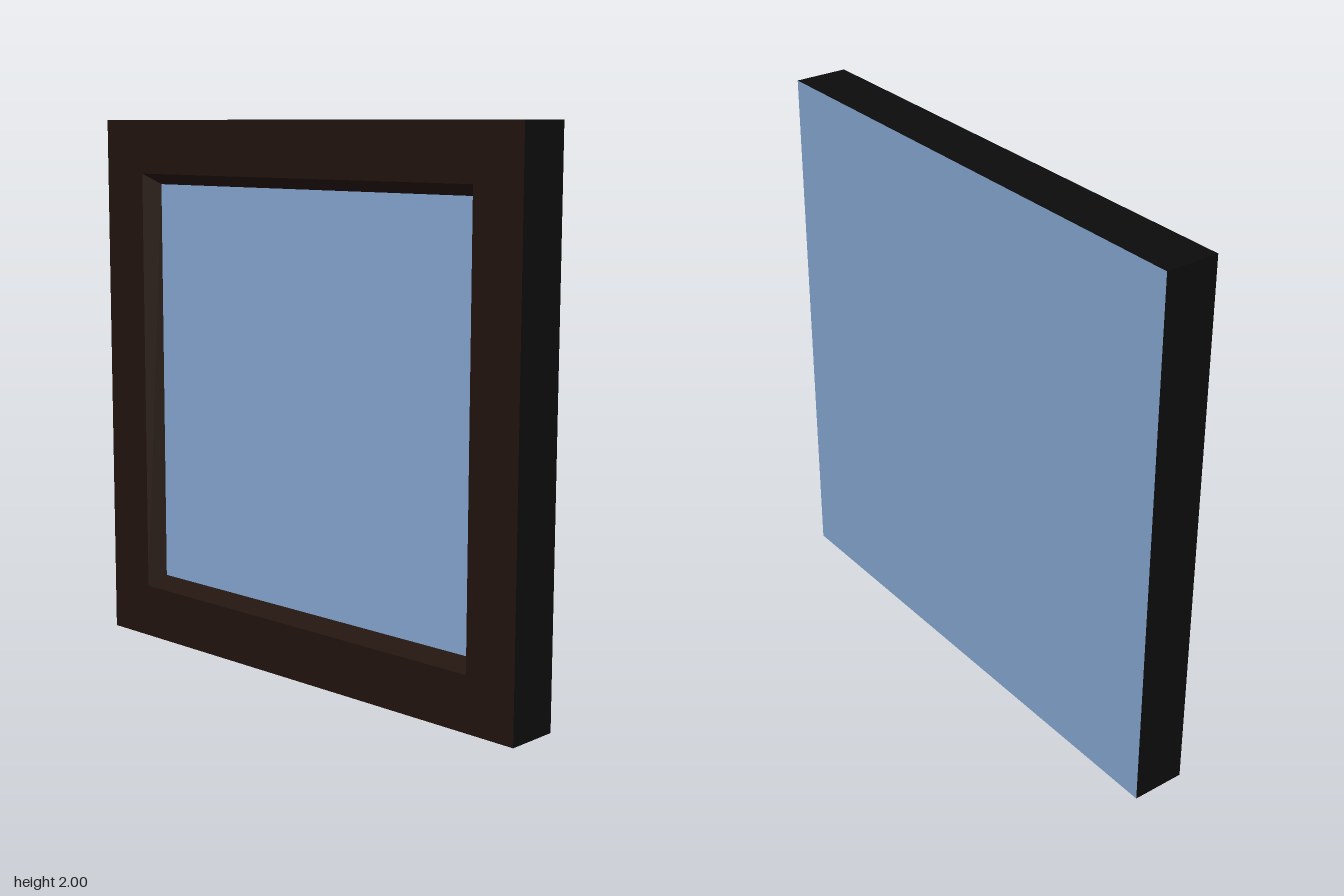
import * as THREE from 'three';

const HALF = 1;        // half of the outer width
const OPENING = 0.8;   // half width of the opening at the front
const PANE = 0.76;     // half width of the visible pane
const DEPTH = 0.1;     // half thickness
const PANE_Z = 0.04;   // recessed pane

// Sweeps a [half width, z] profile around a square, with sharp facets.
function squareSweep(profile) {
  const points = profile.map(([half, z]) => new THREE.Vector2(half * Math.SQRT2, z));
  const geometry = new THREE.LatheGeometry(points, 4, Math.PI / 4).toNonIndexed();
  geometry.computeVertexNormals();
  return geometry.rotateX(Math.PI / 2);
}

export function createModel() {
  const group = new THREE.Group();
  group.name = 'window';

  const wood = new THREE.MeshStandardMaterial({ color: 0x24150f });
  const black = new THREE.MeshStandardMaterial({ color: 0x0b0b0b });
  const glass = new THREE.MeshStandardMaterial({ color: 0x8db0dc });

  const add = (name, geometry, material, z = 0) => {
    const mesh = new THREE.Mesh(geometry, material);
    mesh.name = name;
    mesh.position.set(0, HALF, z);
    group.add(mesh);
    return mesh;
  };

  // Outer edges of the frame
  add('frameSides', squareSweep([[HALF, -DEPTH], [HALF, DEPTH]]), black);

  // Flat front border and the bevel sloping in to the pane
  add('frameFront', squareSweep([[HALF, DEPTH], [OPENING, DEPTH]]), wood);
  add('frameBevel', squareSweep([[OPENING, DEPTH], [PANE, PANE_Z]]), wood);

  // Recessed front pane and the full-size back
  add('frontPane', new THREE.PlaneGeometry(2 * PANE, 2 * PANE), glass, PANE_Z);
  add('backPane', new THREE.PlaneGeometry(2 * HALF, 2 * HALF), glass, -DEPTH).rotation.y = Math.PI;

  return group;
}
